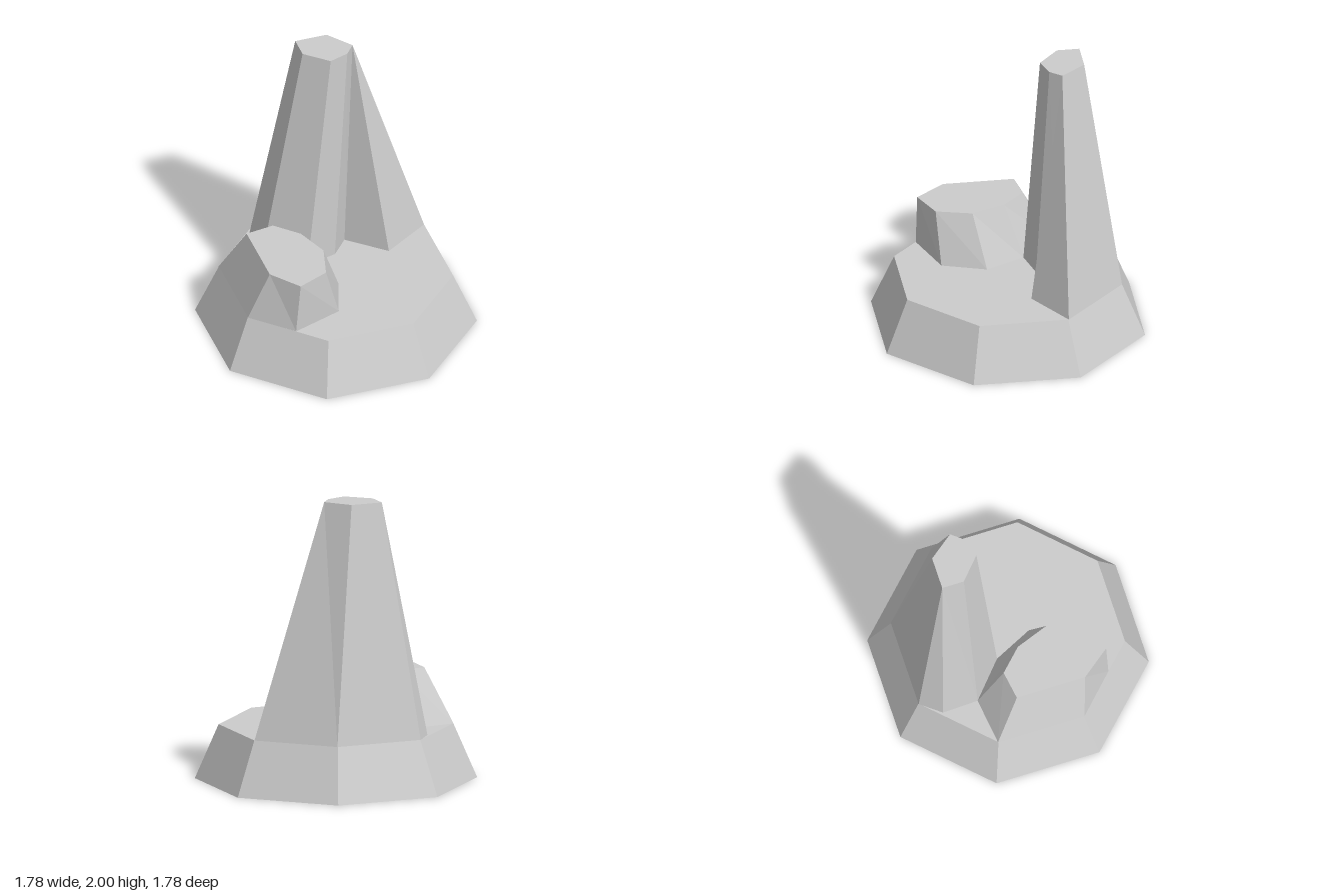
import * as THREE from 'three';

const material = new THREE.MeshStandardMaterial({ color: 0xcccccc, flatShading: true });

// Joins two matching [x, z] outlines (clockwise seen from above) into a faceted solid.
// A repeated point in an outline turns the facet beside it into a triangle.
function facetedLoft(name, bottom, y0, top, y1, closeBottom = false) {
  const low = bottom.map(([x, z]) => new THREE.Vector3(x, y0, z));
  const high = top.map(([x, z]) => new THREE.Vector3(x, y1, z));
  const n = low.length;
  const points = [];
  const triangle = (a, b, c) => {
    if (!a.equals(b) && !b.equals(c) && !c.equals(a)) points.push(a, b, c);
  };
  for (let i = 0; i < n; i++) {
    const j = (i + 1) % n;
    triangle(low[i], high[j], low[j]);
    triangle(low[i], high[i], high[j]);
    triangle(high[0], high[j], high[i]);
    if (closeBottom) triangle(low[0], low[i], low[j]);
  }
  const geometry = new THREE.BufferGeometry().setFromPoints(points);
  geometry.computeVertexNormals();
  const mesh = new THREE.Mesh(geometry, material);
  mesh.name = name;
  return mesh;
}

// Regular octagon with flat sides facing the axes
function octagon(apothem) {
  const radius = apothem / Math.cos(Math.PI / 8);
  return Array.from({ length: 8 }, (_, i) => {
    const angle = (i + 0.5) * Math.PI / 4;
    return [radius * Math.cos(angle), radius * Math.sin(angle)];
  });
}

export function createModel() {
  const group = new THREE.Group();
  group.name = 'rockSpire';
  const ledge = 0.375;

  // Tapered octagonal plinth
  group.add(facetedLoft('base', octagon(0.89), 0, octagon(0.74), ledge, true));

  // Tall spire at the back, flaring to a spur on its left
  group.add(facetedLoft('spire',
    [[-0.31, -0.74], [0.31, -0.74], [0.74, -0.31], [0.415, -0.1], [0.17, -0.32],
      [0.055, -0.185], [-0.16, -0.13], [-0.41, -0.35], [-0.42, -0.6]], ledge,
    [[-0.12, -0.51], [0.105, -0.51], [0.235, -0.34], [0.235, -0.34], [0.235, -0.34],
      [0.17, -0.26], [0.035, -0.215], [-0.12, -0.355], [-0.12, -0.51]], 2));

  // Low flat-topped rock beside the spire
  group.add(facetedLoft('lowRock',
    [[-0.74, -0.31], [-0.41, -0.35], [-0.16, -0.13], [-0.03, 0.14],
      [-0.13, 0.44], [-0.48, 0.565], [-0.74, 0.31]], ledge,
    [[-0.6, -0.13], [-0.4, -0.16], [-0.25, -0.01], [-0.165, 0.22],
      [-0.23, 0.465], [-0.445, 0.56], [-0.6, 0.36]], 0.745));

  return group;
}
